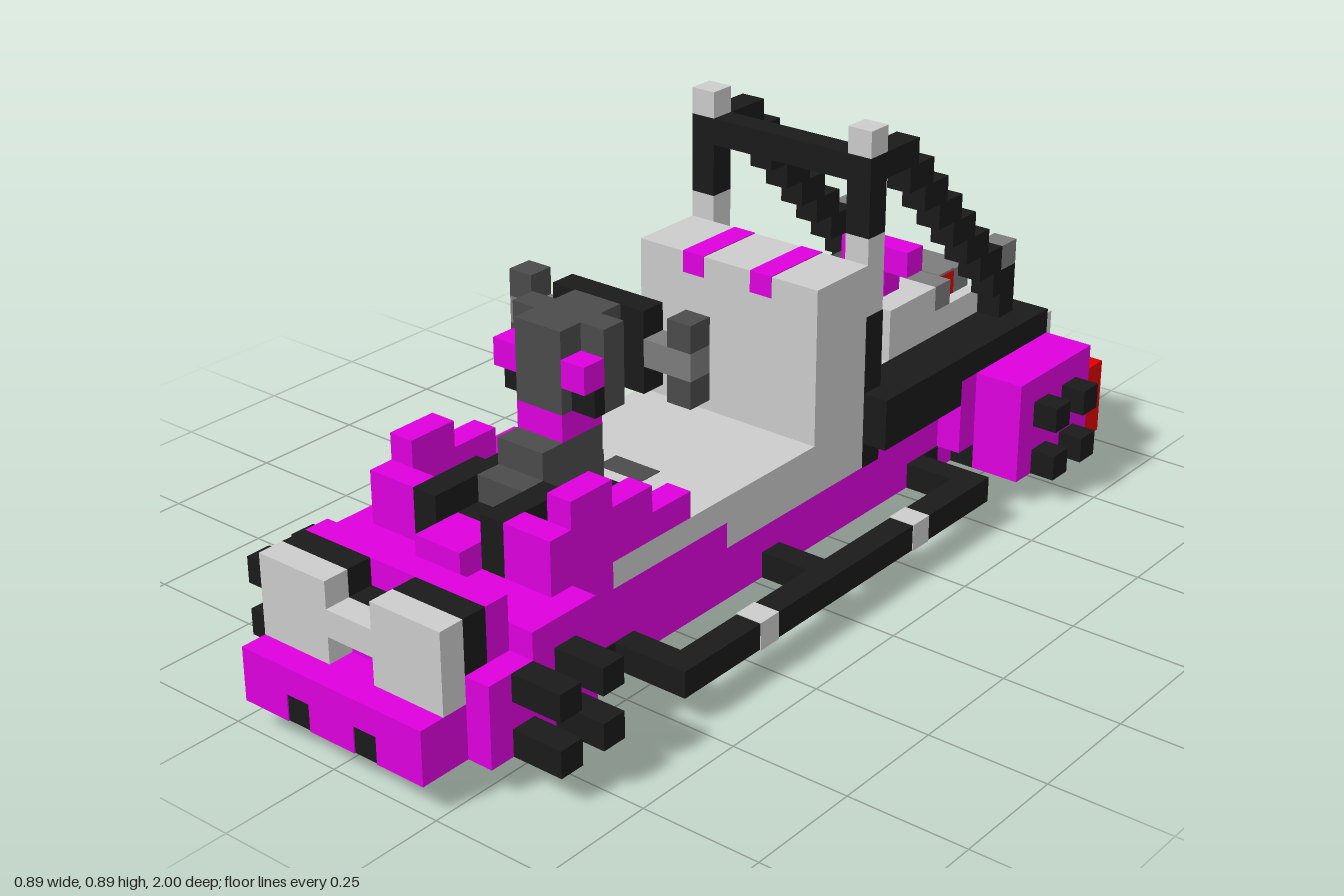
import * as THREE from 'three';

const U = 1 / 18; // size of one block

export function createModel() {
  const model = new THREE.Group();
  model.name = 'blockBuggy';
  const mat = (name, color) => {
    const m = new THREE.MeshStandardMaterial({ color });
    m.name = name;
    return m;
  };
  const magenta = mat('magentaPaint', 0xde00de);
  const black = mat('blackFrame', 0x1a1a1a);
  const light = mat('lightGrey', 0xcccccc);
  const mid = mat('midGrey', 0x7c7c7c);
  const dark = mat('darkGrey', 0x4b4b4b);
  const red = mat('tailRed', 0xe00000);

  // box from block ranges: x0..x1, y0..y1, z0..z1
  const box = (name, m, x0, x1, y0, y1, z0, z1) => {
    const g = new THREE.BoxGeometry((x1 - x0) * U, (y1 - y0) * U, (z1 - z0) * U);
    const mesh = new THREE.Mesh(g, m);
    mesh.position.set((x0 + x1) * U / 2, (y0 + y1) * U / 2, (z0 + z1) * U / 2);
    mesh.name = name;
    model.add(mesh);
  };
  // same box on both sides
  const pair = (name, m, x0, x1, ...r) => {
    box(name + 'Left', m, x0, x1, ...r);
    box(name + 'Right', m, -x1, -x0, ...r);
  };

  // Hull and underside frame
  box('rearHull', magenta, -4, 4, 2, 4, -11, -5);
  box('midHull', magenta, -4, 4, 2, 3, -5, 3);
  box('frontHull', magenta, -4, 4, 2, 4, 3, 9);
  box('foreHull', magenta, -4, 4, 2, 5, 9, 11);
  box('floorPanel', dark, -3, 3, 1.85, 2, -11, 11);
  pair('sill', magenta, 3, 4, 1, 2, -11, 11);
  pair('floorBeam', magenta, 1, 2, 1.4, 1.9, -10, 0);
  for (const z of [-10, -5, 0, 5, 10]) box('floorRib', magenta, -3, 3, 1, 1.9, z - 0.5, z + 0.5);

  // Nose
  box('noseBody', magenta, -5, 5, 2, 4, 11, 16);
  box('noseDeck', magenta, -5, 5, 4, 5, 11, 14);
  box('noseLip', magenta, -4, 4, 4, 6, 14, 15);
  for (const z of [11, 13, 15]) box('noseFloorStrip', magenta, -5, 5, 1, 2, z, z + 1);
  box('noseSkid', black, -4, 4, 0.97, 1, 12, 15);
  for (const z of [12, 14]) {
    box('frontAxle', black, -7, 7, 1, 2, z, z + 1);
    pair('frontUpperStub', black, 5, 7, 3, 4, z, z + 1);
  }
  box('bumperTop', magenta, -4, 4, 2, 3, 16, 18);
  box('bumperBase', magenta, -4, 4, 1, 2, 16, 17);
  box('bumperMiddle', magenta, -1, 1, 1, 2, 17, 18);
  pair('bumperCorner', magenta, 2, 4, 1, 2, 17, 18);
  pair('bumperVent', black, 1, 2, 1, 2, 17, 17.95);
  pair('headlight', light, 1, 4, 3, 6, 16, 17);
  box('headlightBridge', light, -1, 1, 4, 5, 16, 17);
  box('headlightBack', black, -4, 4, 4, 5, 15, 16);
  pair('headlightBackTop', black, 1, 4, 5, 6, 15, 16);

  // Cowl around the steering column
  box('cowlFloor', black, -3, 3, 5, 6, 6, 11);
  pair('cowlBase', magenta, 3, 4, 5, 6, 5, 12);
  pair('cowlSide', magenta, 3, 4, 6, 7, 7, 12);
  pair('cowlCrest', magenta, 3, 4, 7, 8, 9, 11);
  pair('cowlNose', magenta, 2, 3, 5, 7, 11, 12);
  pair('cowlVent', black, 1, 2, 5, 7, 9, 12);
  box('cowlNoseMiddle', magenta, -1, 1, 5, 6, 11, 13);

  // Steering column, instrument head and grips
  box('columnBase', dark, -1, 1, 5, 7, 5.95, 10);
  box('columnMiddle', dark, -1, 1, 7, 8, 6, 9);
  box('columnNeck', magenta, -1, 1, 8, 9, 6, 8);
  box('instrumentHead', dark, -1, 1, 9, 12, 5, 8);
  pair('instrumentWing', dark, 1, 2, 9, 12, 6, 7);
  pair('headLamp', magenta, 1, 2, 10, 11, 7, 8);
  pair('headLampBase', black, 1, 2, 9, 10, 7, 7.5);
  box('screenFrame', black, -2, 2, 9, 12, 4, 5);
  box('screen', light, -1.2, 1.2, 10, 11, 3.92, 4);
  pair('handlebar', mid, 2, 4, 10, 11, 4, 5);
  pair('gripTop', dark, 3, 4, 11, 12, 4, 5);
  pair('gripBottom', dark, 3, 4, 9, 10, 4, 5);

  // Seat
  box('seatPan', light, -4, 4, 4, 5, -5, 9);
  box('seatBase', light, -4, 4, 3, 4, -5, 3);
  box('seatPatch', dark, -1, 1, 5, 5.03, 3, 4);
  box('seatBack', light, -4, 4, 5, 11, -5, -2);
  pair('seatStripe', magenta, 1.05, 2, 11, 11.03, -5, -2);
  pair('seatStripeFront', magenta, 1.05, 2, 10.2, 11.03, -2, -1.97);

  // Side rails
  pair('railSide', black, 6, 7, 1, 2, -9, 9);
  for (const z of [-9, 8]) pair('railArm', black, 4, 6, 1, 2, z, z + 1);
  for (const z of [-10, 9]) pair('railRoot', black, 3.5, 4.05, 1, 2, z, z + 1);
  box('railBraceLeft', black, 4, 6, 1, 2, 0, 1);
  box('railBraceRight', black, -6, -4, 1, 2, -1, 0);
  for (const z of [-5, 4]) pair('railClamp', light, 5.97, 7.03, 0.97, 2.03, z, z + 1);

  // Rear deck around the engine bay
  pair('deckSide', black, 3, 5, 4, 6, -16, -5);
  box('deckBack', black, -3, 3, 4, 6, -16, -15);
  box('deckFront', black, -3, 3, 4, 6, -6, -5);
  box('tailBody', black, -5, 5, 1, 4, -16, -11);
  box('underTank', black, -2, 2, 0, 1, -15, -11);
  pair('tankRidge', black, 1, 2, 1, 2, -17, -16);

  // Rear pods, axle stubs and tail lamps
  pair('pod', magenta, 5, 7, 1, 5, -16, -11);
  pair('podStep', magenta, 4, 5, 2, 5, -11, -10);
  for (const z of [-15, -13]) {
    for (const y of [1, 3]) pair('rearStub', black, 6.9, 8, y, y + 1, z, z + 1);
    box('rearAxle', black, -7, 7, 0.97, 1.1, z, z + 1);
  }
  pair('tailLamp', red, 5, 7, 1, 4, -17, -16);

  // Rear twin light frames
  pair('lightFrameInner', light, 1, 2, 1, 5, -18, -17);
  pair('lightFrameOuter', light, 3, 4, 1, 5, -18, -17);
  pair('lightFrameTop', light, 2, 3, 4, 5, -18, -17);
  pair('lightFrameBottom', light, 2, 3, 1, 2, -18, -17);
  box('lightFrameBridge', light, -1, 1, 2, 4, -18, -17);
  pair('lightMount', black, 1, 3, 2, 4, -17, -16);
  pair('lightLens', black, 2, 3, 2, 4, -17.5, -17);

  // Roll cage
  pair('cagePostLower', black, 3, 4.03, 3, 9, -6, -5);
  pair('cagePostJoint', light, 3, 4, 9, 12, -6, -5);
  pair('cagePostUpper', black, 3, 4, 12, 15, -6, -5);
  pair('cageCap', light, 3, 4, 15, 16, -6, -5);
  box('cageCrossbar', black, -3, 3, 14, 15, -6, -5);
  pair('cageTop', black, 3, 4, 14, 15, -8, -6);
  for (let i = 1; i < 8; i++) pair('cageStay', black, 3, 4, 14 - i, 15 - i, -8 - i, -6.5 - i);
  pair('cageFoot', black, 3, 4, 6, 7, -15, -14);
  pair('cageFootCap', mid, 3, 4, 8, 9, -15, -14);

  // Engine
  box('engineBlock', light, -3, 3, 4, 5.95, -14, -7);
  box('engineTray', mid, -3, 3, 4, 6, -15, -14);
  box('engineFront', mid, -3, 3, 4, 6, -7, -6);
  box('engineHead', light, -2, 3, 5.9, 7, -14, -8);
  box('engineTop', light, 0, 3, 7, 8, -11, -8);
  box('airBoxStand', dark, -2, 0, 5.9, 8, -8, -7.1);
  box('airBox', black, -3, 0, 8, 9, -9, -7);
  box('engineCapStem', magenta, 1, 2, 8, 9, -10, -9);
  box('engineCap', magenta, 0, 3, 9, 10, -10, -9);
  box('enginePipe', dark, -2, -1, 7, 8, -14, -10);
  box('enginePipeBend', dark, -1, 0, 7, 8, -13, -12);
  box('engineCover', mid, 0, 3, 7, 8, -12, -11);
  box('engineLamp', red, 1, 2.5, 7, 7.95, -13, -12);
  box('engineLampLid', mid, 0.5, 2.5, 7.95, 8.05, -13, -12);
  box('engineCoverRear', mid, 0, 2.5, 7, 8, -14, -13);

  return model;
}
